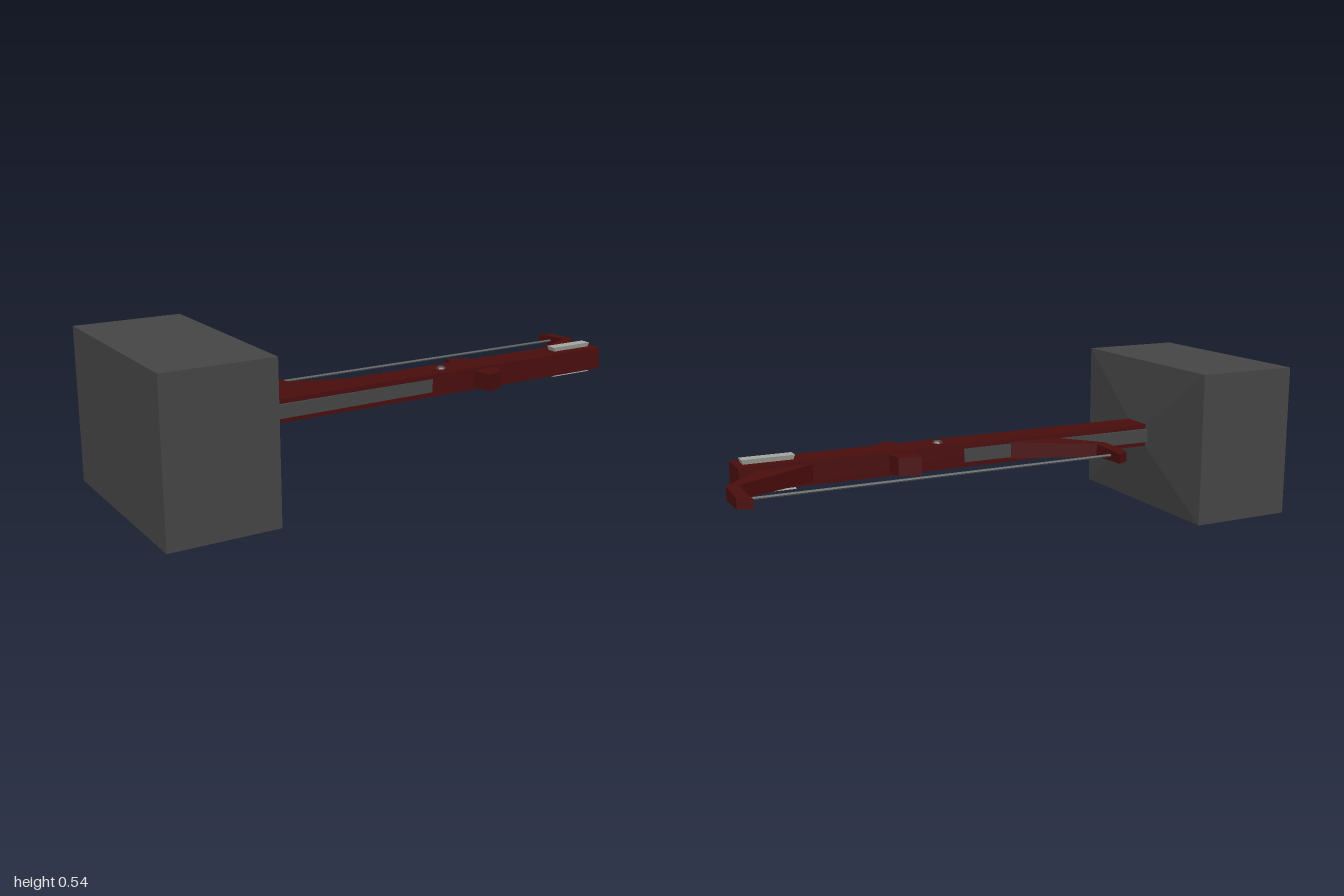
import * as THREE from 'three';

const MID = 0.269; // height of the weapon's centre line

const flat = (name, color) => {
  const m = new THREE.MeshStandardMaterial({ color });
  m.name = name;
  m.flatShading = true;
  return m;
};

// Extrude a plan outline of [x, z] points, centred on MID; half(z) gives the half height
function planGeometry(points, half) {
  const shape = new THREE.Shape(points.map(([x, z]) => new THREE.Vector2(x, -z)));
  const g = new THREE.ExtrudeGeometry(shape, { depth: 2, bevelEnabled: false });
  g.translate(0, 0, -1).rotateX(-Math.PI / 2);
  const p = g.attributes.position;
  for (let i = 0; i < p.count; i++) p.setY(i, MID + p.getY(i) * half(p.getZ(i)));
  g.computeVertexNormals();
  return g;
}

export function createModel() {
  const group = new THREE.Group();
  const red = flat('dark red', 0x4a0d0d);
  const iron = flat('dark grey', 0x454545);
  const steel = flat('light grey', 0xa4a49e);
  const cord = flat('cord grey', 0x5c5f5f);

  const add = (name, geometry, material) => {
    const mesh = new THREE.Mesh(geometry, material);
    mesh.name = name;
    group.add(mesh);
    return mesh;
  };

  // Heavy block with a shallow pyramid on its inner face
  add('block', new THREE.BoxGeometry(0.375, 0.538, 0.745).translate(-0.8125, MID, 0), iron);
  const cap = new THREE.ConeGeometry(Math.SQRT1_2, 0.027, 4, 1, true);
  cap.rotateY(Math.PI / 4).scale(0.538, 1, 0.745).rotateZ(-Math.PI / 2);
  add('blockFace', cap.translate(-0.6115, MID, 0), iron);

  // Long stock with tapering grey side strips
  add('stock', new THREE.BoxGeometry(1.53, 0.082, 0.114).translate(0.158, MID, 0), red);
  for (const s of [1, -1]) {
    const outline = [[-0.605, 0], [-0.605, s * 0.071], [0.14, s * 0.0585], [0.14, 0]];
    add(s > 0 ? 'frontStrip' : 'backStrip', planGeometry(outline, () => 0.024), iron);
  }

  // Bow limbs, mirrored about the middle of the string
  const limb = [[0.325, -0.03], [0.36, -0.06], [0.475, -0.118], [0.632, -0.193], [0.634, -0.29],
    [0.63, -0.345], [0.674, -0.318], [0.671, -0.187], [0.535, -0.06], [0.50, -0.03]];
  const limbHalf = (z) => THREE.MathUtils.mapLinear(z, -0.06, -0.345, 0.029, 0.016);
  for (const s of [1, -1]) {
    const outline = limb.map(([x, z]) => [0.324 + s * x, z]);
    add(s > 0 ? 'leftLimb' : 'rightLimb', planGeometry(outline, limbHalf), red);
  }

  // String
  const string = new THREE.CylinderGeometry(0.005, 0.005, 1.27, 6).rotateZ(Math.PI / 2);
  add('string', string.translate(0.324, MID, -0.28), cord);

  // Cross pegs on both sides
  for (const s of [1, -1]) {
    const outline = [[0.318, s * 0.05], [0.334, s * 0.141], [0.405, s * 0.112], [0.416, s * 0.05]];
    add(s > 0 ? 'frontPeg' : 'backPeg', planGeometry(outline, () => 0.031), red);
  }

  // Small pin and flared steel sights above and below the stock
  for (const s of [1, -1]) {
    const pin = add(s > 0 ? 'topPin' : 'bottomPin',
      new THREE.CylinderGeometry(0.014, 0.022, 0.012, 6), iron);
    pin.position.set(0.215, MID + s * 0.042, 0);
    if (s < 0) pin.rotation.x = Math.PI;

    const sight = new THREE.BoxGeometry(0.176, 0.022, 0.042);
    const p = sight.attributes.position;
    for (let i = 0; i < p.count; i++) {
      if (p.getY(i) * s < 0) {
        p.setX(i, p.getX(i) * 0.92);
        p.setZ(i, p.getZ(i) * 0.72);
      }
    }
    sight.computeVertexNormals();
    add(s > 0 ? 'topSight' : 'bottomSight', sight.translate(0.814, MID + s * 0.046, 0), steel);
  }

  return group;
}
